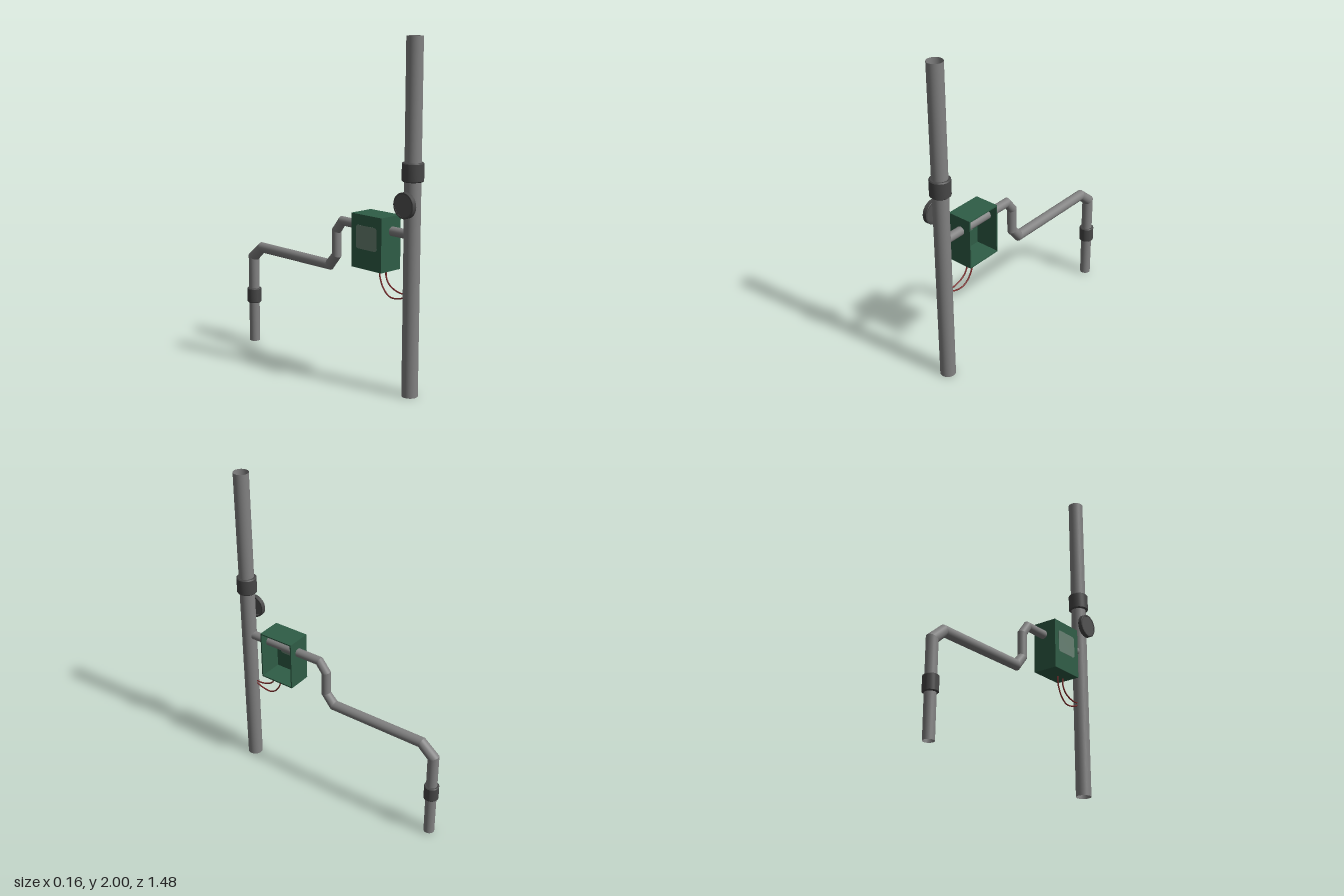
import * as THREE from 'three';
import { toCreasedNormals } from 'three/addons/utils/BufferGeometryUtils.js';

const AXIS_X = 0.007; // shared centre plane of the pipework
const POLE_Z = 0.667;

const mat = (name, color, side = THREE.FrontSide) => {
  const m = new THREE.MeshStandardMaterial({ color, side });
  m.name = name;
  return m;
};

function add(parent, name, geometry, material, x = 0, y = 0, z = 0) {
  const mesh = new THREE.Mesh(geometry, material);
  mesh.name = name;
  mesh.position.set(x, y, z);
  parent.add(mesh);
  return mesh;
}

// Hollow pipe with mitred joints; each point is [z, y, radius]
function mitredPipe(points, sides = 24) {
  const pos = [], nor = [], idx = [];
  const p = points.map(([z, y]) => new THREE.Vector3(0, y, z));
  const dirs = p.slice(1).map((q, i) => q.clone().sub(p[i]).normalize());
  const u = new THREE.Vector3(1, 0, 0);
  dirs.forEach((t, s) => {
    const v = t.clone().cross(u);
    const base = pos.length / 3;
    for (const k of [s, s + 1]) {
      const n = (dirs[k - 1] || t).clone().add(dirs[k] || t).normalize();
      for (let i = 0; i <= sides; i++) {
        const a = (i / sides) * Math.PI * 2;
        const out = u.clone().multiplyScalar(Math.cos(a)).addScaledVector(v, Math.sin(a));
        const off = out.clone().multiplyScalar(points[k][2]);
        off.addScaledVector(t, -off.dot(n) / t.dot(n)); // slide onto the mitre plane
        pos.push(...off.add(p[k]).toArray());
        nor.push(...out.toArray());
      }
    }
    for (let i = 0; i < sides; i++) {
      const a = base + i, c = a + sides + 1;
      idx.push(a, a + 1, c, a + 1, c + 1, c);
    }
  });
  const g = new THREE.BufferGeometry();
  g.setAttribute('position', new THREE.Float32BufferAttribute(pos, 3));
  g.setAttribute('normal', new THREE.Float32BufferAttribute(nor, 3));
  g.setIndex(idx);
  return g;
}

// Closed ring with lightly chamfered outer edges, centred on y = 0
function ring(inner, outer, height, bevel) {
  const h = height / 2;
  const profile = [
    [inner, -h], [outer - bevel, -h], [outer, -h + bevel],
    [outer, h - bevel], [outer - bevel, h], [inner, h], [inner, -h],
  ].map(([x, y]) => new THREE.Vector2(x, y));
  return toCreasedNormals(new THREE.LatheGeometry(profile, 32), 0.6);
}

function roundedPlate(w, h, r, depth) {
  const x = w / 2, y = h / 2, s = new THREE.Shape();
  s.moveTo(-x + r, -y);
  s.lineTo(x - r, -y).quadraticCurveTo(x, -y, x, -y + r);
  s.lineTo(x, y - r).quadraticCurveTo(x, y, x - r, y);
  s.lineTo(-x + r, y).quadraticCurveTo(-x, y, -x, y - r);
  s.lineTo(-x, -y + r).quadraticCurveTo(-x, -y, -x + r, -y);
  return new THREE.ExtrudeGeometry(s, { depth, bevelEnabled: false, curveSegments: 4 })
    .translate(0, 0, -depth / 2).rotateY(Math.PI / 2);
}

export function createModel() {
  const model = new THREE.Group();
  model.name = 'pipeAssembly';

  const steel = mat('pipeGrey', 0x828282, THREE.DoubleSide);
  const dark = mat('couplingDarkGrey', 0x474747);
  const dial = mat('gaugeFaceGrey', 0x525252);
  const green = mat('boxGreen', 0x2f5d46);
  const glass = mat('windowGreyGreen', 0x678072);
  const red = mat('wireRed', 0x7d2b2b);

  // Upright pole, open at both ends
  add(model, 'mainPole', new THREE.CylinderGeometry(0.0465, 0.0465, 2, 32, 1, true),
    steel, AXIS_X, 1, POLE_Z);
  add(model, 'poleCoupling', ring(0.046, 0.061, 0.106, 0.006), dark, AXIS_X, 1.273, POLE_Z);

  // Stepped branch pipe running back and down
  add(model, 'branchPipe', mitredPipe([
    [0.662, 0.923, 0.027], [0.124, 0.923, 0.027], [0.074, 0.858, 0.028],
    [0.074, 0.71, 0.028], [0.016, 0.643, 0.031], [-0.61, 0.641, 0.032],
    [-0.695, 0.567, 0.034], [-0.695, 0.008, 0.033],
  ]), steel, AXIS_X);
  add(model, 'branchCoupling', ring(0.032, 0.045, 0.096, 0.005), dark, AXIS_X, 0.313, -0.695);

  // Round gauge on the pole, facing -x
  const gauge = new THREE.Group();
  gauge.name = 'gauge';
  gauge.position.set(-0.053, 1.095, 0.664);
  gauge.rotation.z = Math.PI / 2;
  add(gauge, 'gaugeRim', ring(0.063, 0.073, 0.028, 0.002), dark);
  add(gauge, 'gaugeFace', new THREE.CylinderGeometry(0.064, 0.064, 0.006, 32), dial, 0, 0.009, 0);
  model.add(gauge);

  // Control box, open on +x
  const box = new THREE.Group();
  box.name = 'controlBox';
  box.position.set(-0.002, 0.851, 0.402);
  const W = 0.156, H = 0.312, D = 0.234, T = 0.008;
  add(box, 'boxPanel', new THREE.BoxGeometry(T, H, D), green, -W / 2 + T / 2);
  for (const s of [-1, 1]) {
    add(box, s > 0 ? 'boxTop' : 'boxBottom', new THREE.BoxGeometry(W, T, D), green,
      0, s * (H - T) / 2, 0);
    add(box, s > 0 ? 'boxFront' : 'boxBack', new THREE.BoxGeometry(W, H, T), green,
      0, 0, s * (D - T) / 2);
  }
  add(box, 'boxWindow', roundedPlate(0.16, 0.136, 0.018, 0.0098), glass,
    -W / 2 + T / 2, 0.026, 0);
  model.add(box);

  // Wires from the box to the pole
  const wires = [
    [[0.477, 0.7], [0.477, 0.655], [0.5, 0.615], [0.538, 0.592], [0.594, 0.579], [0.64, 0.584]],
    [[0.424, 0.7], [0.43, 0.64], [0.46, 0.578], [0.508, 0.542], [0.578, 0.546], [0.64, 0.572]],
  ];
  for (const w of wires) {
    const curve = new THREE.CatmullRomCurve3(w.map(([z, y]) => new THREE.Vector3(AXIS_X, y, z)));
    add(model, 'wire', new THREE.TubeGeometry(curve, 20, 0.0045, 8), red);
  }

  return model;
}
